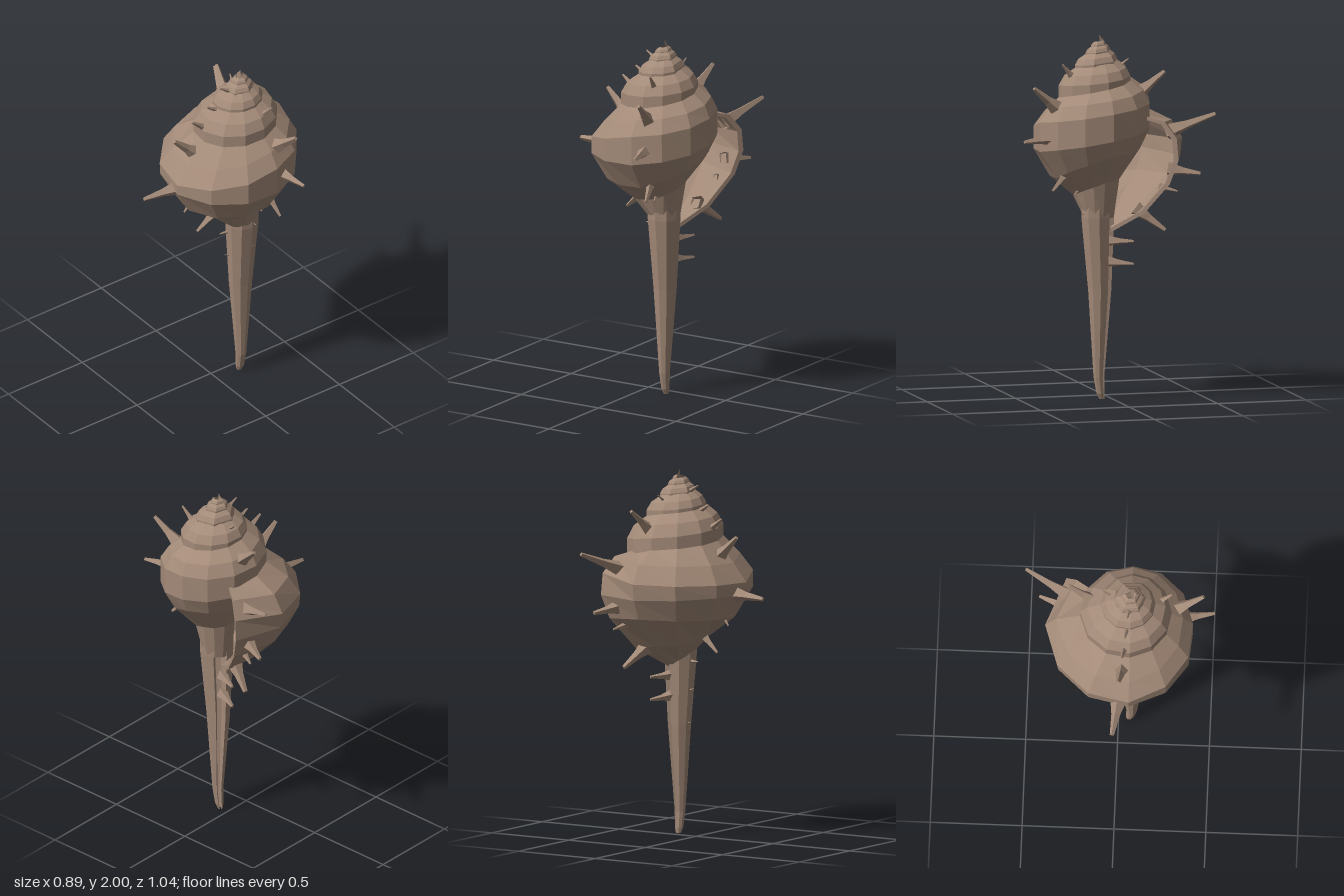
import * as THREE from 'three';

const AXIS_X = 0.15, AXIS_Z = 0.07;
const rad = THREE.MathUtils.degToRad;

// Whorl cross-sections [radius, height] from suture down to canal, at given angles
const KEYS = [
  { a: -90, p: [[0.155, 1.78], [0.24, 1.72], [0.28, 1.65], [0.28, 1.52], [0.22, 1.40], [0.11, 1.22], [0.08, 1.0]] },
  { a: 0, p: [[0.17, 1.74], [0.26, 1.67], [0.292, 1.6], [0.29, 1.45], [0.25, 1.36], [0.12, 1.2], [0.085, 1.0]] },
  { a: 90, p: [[0.20, 1.68], [0.28, 1.61], [0.335, 1.53], [0.335, 1.37], [0.24, 1.22], [0.13, 1.13], [0.085, 1.0]] },
  { a: 180, p: [[0.24, 1.63], [0.35, 1.51], [0.43, 1.41], [0.43, 1.35], [0.35, 1.21], [0.18, 1.09], [0.08, 1.0]] },
  { a: 270, p: [[0.27, 1.59], [0.41, 1.52], [0.47, 1.42], [0.46, 1.33], [0.41, 1.22], [0.25, 1.05], [0.07, 0.93]] },
  { a: 306, p: [[0.25, 1.57], [0.38, 1.54], [0.45, 1.45], [0.46, 1.33], [0.41, 1.2], [0.26, 1.03], [0.07, 0.92]] },
];

// Earlier turns shrink toward the apex; the last turn blends the key sections
function section(angle) {
  if (angle <= -90) {
    const s = Math.pow(0.6, (-90 - angle) / 360);
    return KEYS[0].p.map(([r, y]) => [r * s, 2 - (2 - y) * s]);
  }
  const i = KEYS.findIndex((k) => k.a >= angle);
  const k0 = KEYS[i - 1], k1 = KEYS[i];
  const t = (angle - k0.a) / (k1.a - k0.a);
  return k0.p.map(([r, y], j) => [r + (k1.p[j][0] - r) * t, y + (k1.p[j][1] - y) * t]);
}

const polar = (angle, r, y, cz = AXIS_Z) => [AXIS_X + r * Math.cos(rad(angle)), y, cz + r * Math.sin(rad(angle))];

// Faceted skin over a grid of points
function skin(grid) {
  const pos = [];
  for (let i = 0; i < grid.length - 1; i++) {
    for (let j = 0; j < grid[i].length - 1; j++) {
      const a = grid[i][j], b = grid[i + 1][j], c = grid[i + 1][j + 1], d = grid[i][j + 1];
      pos.push(...a, ...b, ...d, ...b, ...c, ...d);
    }
  }
  const geo = new THREE.BufferGeometry();
  geo.setAttribute('position', new THREE.Float32BufferAttribute(pos, 3));
  geo.computeVertexNormals();
  return geo;
}

function whorlGeometry() {
  const angles = [];
  for (let a = -1530; a < -690; a += 60) angles.push(a);
  for (let a = -690; a <= 270; a += 30) angles.push(a);
  angles.push(306);
  const grid = angles.map((a) => section(a).map(([r, y]) => polar(a, r, y)));
  grid.unshift(grid[0].map(() => [AXIS_X, 2, AXIS_Z]));
  // Fold the lip back inside to give the shell wall a thickness
  for (const a of [306, 270, 230]) {
    grid.push(section(a).map(([r, y]) => polar(a, r * 0.94, 1.3 + (y - 1.3) * 0.94)));
  }
  return skin(grid);
}

// Tapered canal with a C-shaped section, open along one side
function canalGeometry() {
  const levels = [[1.25, 0.095, 0.075], [1.0, 0.092, 0.08], [0.6, 0.065, 0.068], [0.12, 0.03, 0.072], [0.03, 0.023, 0.062], [0, 0.014, 0.055]];
  const arc = [];
  for (let k = 0; k <= 8; k++) arc.push(-30 + k * 39);
  const ring = [...arc.map((a) => [a, 1]), ...arc.slice().reverse().map((a) => [a, 0.55]), [arc[0], 1]];
  return skin(ring.map(([a, f]) => levels.map(([y, r, cz]) => polar(a, r * f, y, cz))));
}

// One row of spines at a fixed angle; each is [base radius, base y, tip radius, tip y]
function spineRow(name, angle, spines, material) {
  const row = new THREE.Group();
  row.name = name;
  for (const [r0, y0, r1, y1] of spines) {
    const base = new THREE.Vector3(...polar(angle, r0, y0));
    const dir = new THREE.Vector3(...polar(angle, r1, y1)).sub(base);
    const len = dir.length(), w = Math.min(0.05, len * 0.28);
    // Flared foot, narrow shaft, blunt tip
    const profile = [[w, -0.02], [w * 0.5, len * 0.4], [w * 0.24, len], [0, len]];
    const geo = new THREE.LatheGeometry(profile.map(([x, y]) => new THREE.Vector2(x, y)), 4).toNonIndexed();
    geo.computeVertexNormals();
    const mesh = new THREE.Mesh(geo, material);
    mesh.name = 'spine';
    mesh.position.copy(base);
    mesh.quaternion.setFromUnitVectors(new THREE.Vector3(0, 1, 0), dir.normalize());
    row.add(mesh);
  }
  return row;
}

export function createModel() {
  const model = new THREE.Group();
  model.name = 'seaShell';
  const shell = new THREE.MeshStandardMaterial({ color: 0xa38a78, flatShading: true, side: THREE.DoubleSide });
  shell.name = 'shellBrown';

  const whorls = new THREE.Mesh(whorlGeometry(), shell);
  whorls.name = 'spiralWhorls';
  const canal = new THREE.Mesh(canalGeometry(), shell);
  canal.name = 'siphonCanal';
  model.add(whorls, canal);

  model.add(spineRow('rightSpines', 188, [
    [0.40, 1.35, 0.60, 1.34], [0.28, 1.54, 0.41, 1.66], [0.22, 1.69, 0.30, 1.75], [0.14, 1.78, 0.207, 1.82],
    [0.08, 1.89, 0.13, 1.92], [0.30, 1.24, 0.35, 1.17], [0.17, 1.1, 0.27, 1.015], [0.07, 0.95, 0.13, 0.95],
    [0.07, 0.79, 0.10, 0.8], [0.05, 0.61, 0.076, 0.61],
  ], shell));
  model.add(spineRow('frontSpines', 78, [
    [0.307, 1.45, 0.46, 1.44], [0.256, 1.61, 0.40, 1.73], [0.165, 1.78, 0.225, 1.85], [0.205, 1.25, 0.287, 1.16],
    [0.10, 1.19, 0.153, 1.13], [0.08, 1.02, 0.112, 1.02], [0.06, 0.87, 0.092, 0.87],
  ], shell));
  model.add(spineRow('backSpines', -75, [[0.23, 1.69, 0.357, 1.8], [0.124, 1.84, 0.16, 1.87]], shell));
  model.add(spineRow('lipSpines', -66, [
    [0.39, 1.48, 0.64, 1.58], [0.40, 1.27, 0.557, 1.25], [0.35, 1.17, 0.43, 1.15], [0.216, 1.04, 0.364, 0.935],
    [0.07, 0.87, 0.19, 0.87], [0.07, 0.755, 0.19, 0.745],
  ], shell));
  return model;
}
